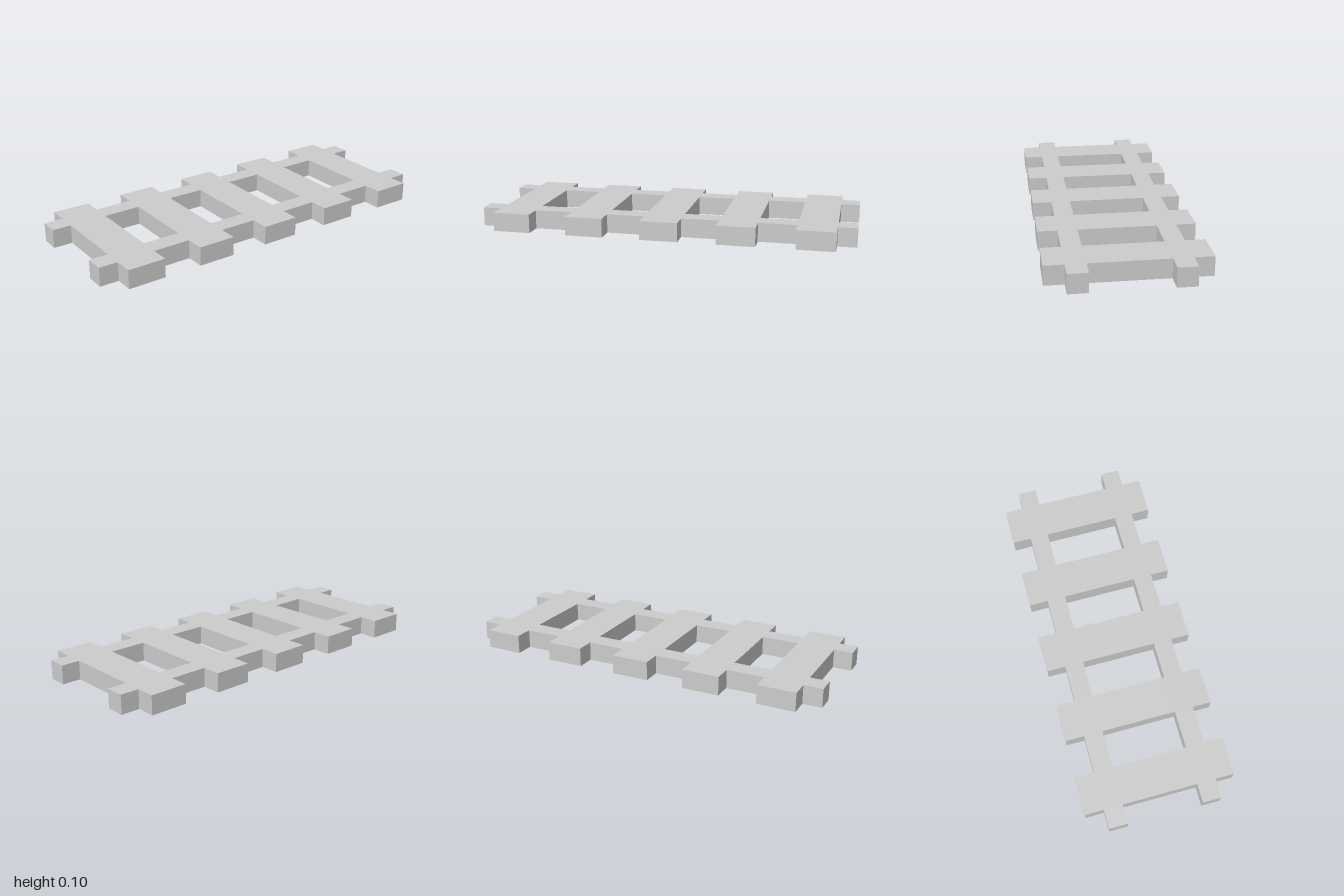
import * as THREE from 'three';

const HEIGHT = 0.1;
const RAIL_IN = 0.2, RAIL_OUT = 0.3, RAIL_END = 1;
const TIE_X = 0.4, TIE_HALF = 0.1;
const TIES = [-0.8, -0.4, 0, 0.4, 0.8];

export function createModel() {
  const group = new THREE.Group();
  group.name = 'track';

  // One side of the outline: rail end, tie ends, rail end
  const tieEdge = TIES[TIES.length - 1] + TIE_HALF;
  const side = [[RAIL_IN, -tieEdge], [RAIL_IN, -RAIL_END], [RAIL_OUT, -RAIL_END]];
  for (const c of TIES) {
    side.push(
      [RAIL_OUT, c - TIE_HALF], [TIE_X, c - TIE_HALF],
      [TIE_X, c + TIE_HALF], [RAIL_OUT, c + TIE_HALF]
    );
  }
  side.push([RAIL_OUT, RAIL_END], [RAIL_IN, RAIL_END], [RAIL_IN, tieEdge]);

  // The other side is the same run turned half a circle
  const outline = [
    ...side.map(([x, y]) => new THREE.Vector2(x, y)),
    ...side.map(([x, y]) => new THREE.Vector2(-x, -y)),
  ];
  const shape = new THREE.Shape(outline);

  // Openings between neighbouring ties
  for (let i = 0; i < TIES.length - 1; i++) {
    const a = TIES[i] + TIE_HALF, b = TIES[i + 1] - TIE_HALF;
    shape.holes.push(new THREE.Path([
      new THREE.Vector2(-RAIL_IN, a), new THREE.Vector2(-RAIL_IN, b),
      new THREE.Vector2(RAIL_IN, b), new THREE.Vector2(RAIL_IN, a),
    ]));
  }

  // Rails and ties as one flat slab lying on the ground
  const geometry = new THREE.ExtrudeGeometry(shape, { depth: HEIGHT, bevelEnabled: false });
  geometry.rotateX(-Math.PI / 2);
  const mesh = new THREE.Mesh(
    geometry,
    new THREE.MeshStandardMaterial({ color: 0xcccccc, flatShading: true })
  );
  mesh.name = 'railsAndTies';
  group.add(mesh);
  return group;
}
